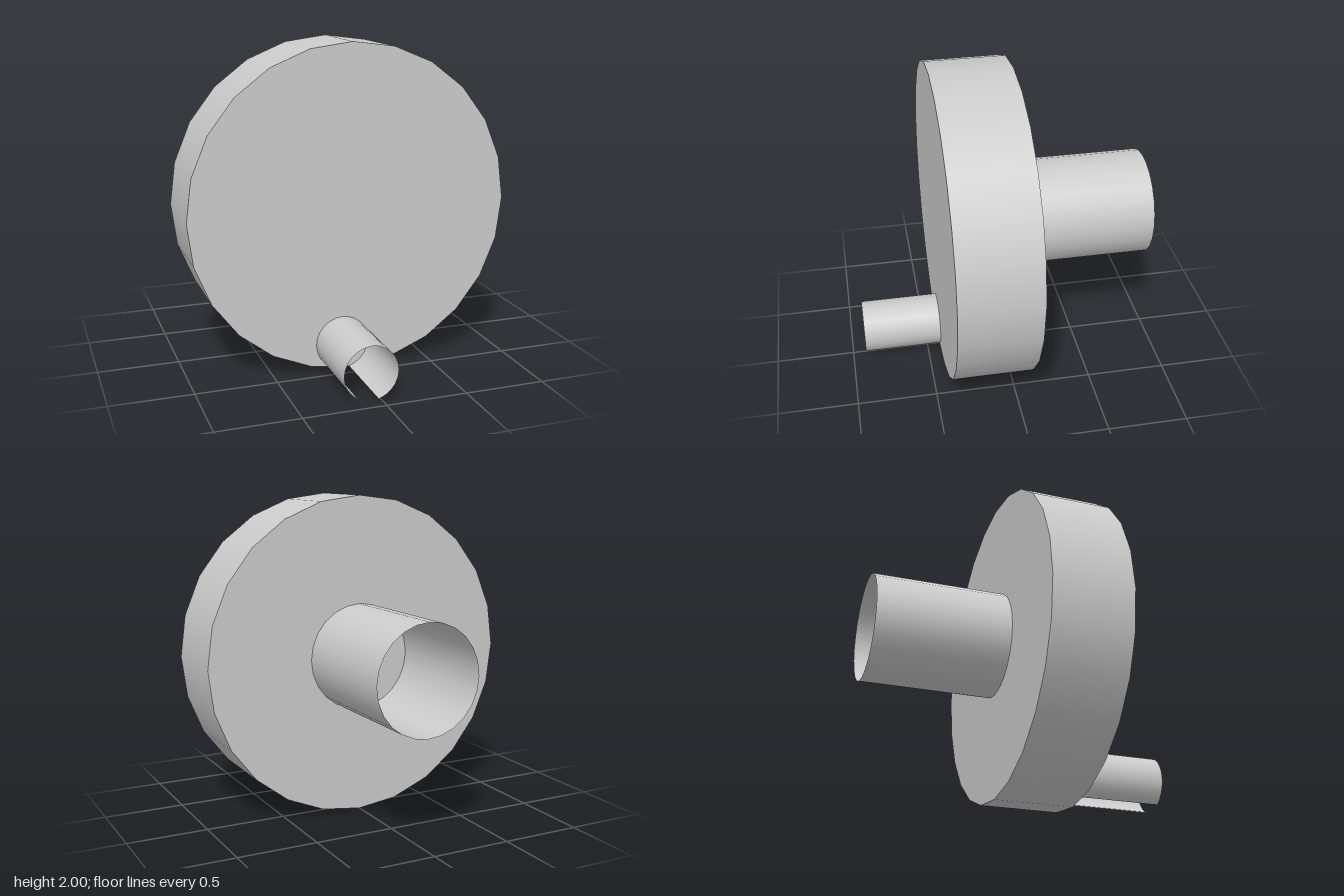
import * as THREE from 'three';

const SIDES = 24;
const STEP = (Math.PI * 2) / SIDES;

// Cylinder lying along z between two depths; skip = number of facets left out, start = first facet
function zCylinder(name, radius, zBack, zFront, open, start = 0, skip = 0) {
  const count = SIDES - skip;
  const geometry = new THREE.CylinderGeometry(
    radius, radius, zFront - zBack, count, 1, open, start * STEP, count * STEP);
  geometry.rotateX(Math.PI / 2);
  const material = new THREE.MeshStandardMaterial({
    color: 0xcccccc,
    side: open ? THREE.DoubleSide : THREE.FrontSide,
  });
  const mesh = new THREE.Mesh(geometry, material);
  mesh.name = name;
  mesh.position.z = (zBack + zFront) / 2;
  return mesh;
}

export function createModel() {
  const group = new THREE.Group();
  group.name = 'crankWheel';

  // Solid wheel
  const disc = zCylinder('disc', 1, -0.083, 0.417, false);
  disc.position.y = 1;

  // Hollow shaft at the centre of the back, open at its end
  const shaft = zCylinder('shaft', 0.333, -0.917, -0.083, true);
  shaft.position.y = 1;

  // Hollow crank pin near the rim, slotted along its underside
  const pin = zCylinder('crankPin', 0.167, 0.417, 0.917, true, 1, 3);
  pin.position.x = -0.06;
  pin.position.y = 0.167;

  group.add(disc, shaft, pin);
  return group;
}
